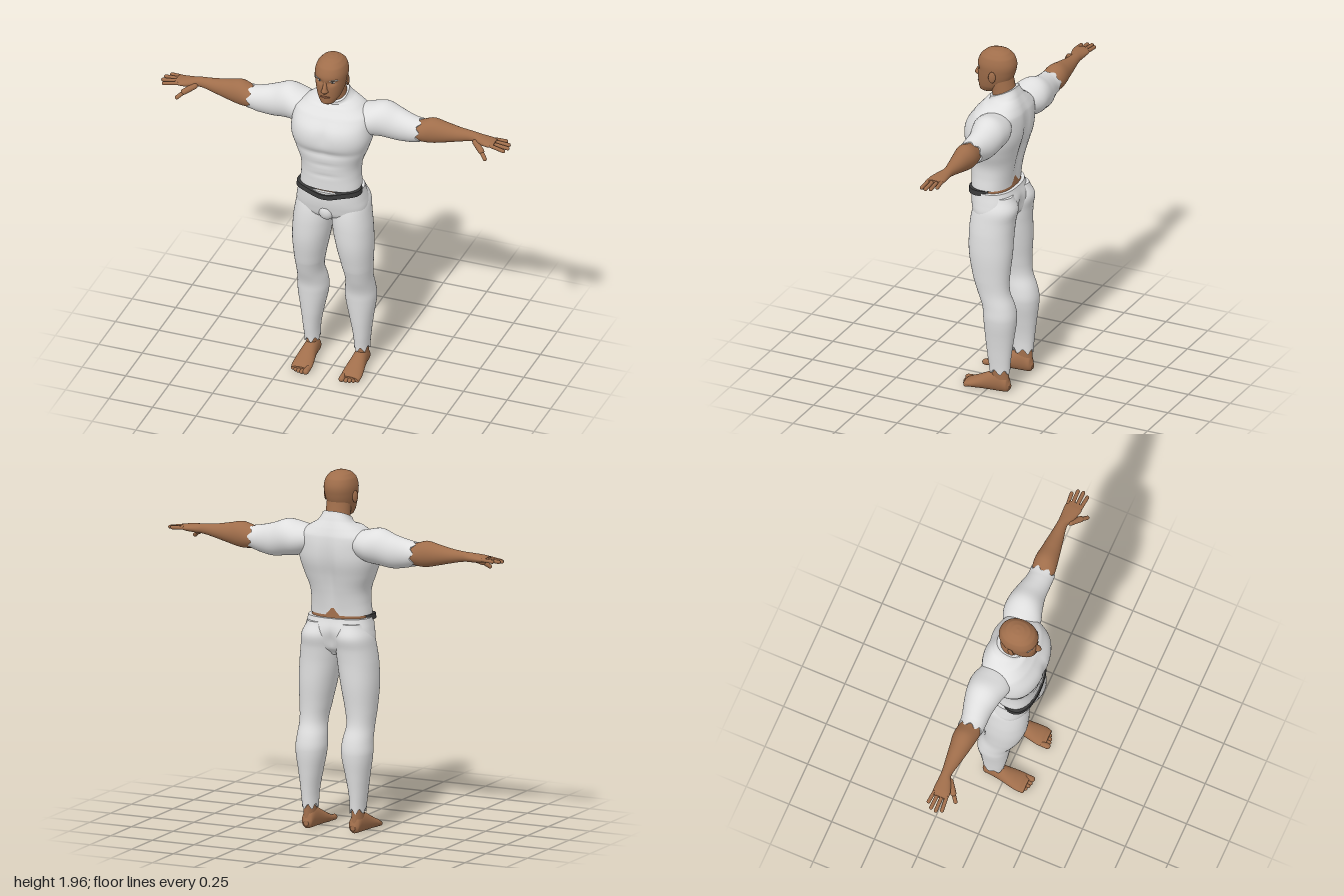
import * as THREE from 'three';

const mat = (name, color) => Object.assign(new THREE.MeshStandardMaterial({ color }), { name });
const bump = (v, mid, width) => Math.exp(-(((v - mid) / width) ** 2));
const sym = (t, a, b0, b1) => [t, -a, a, b0, b1];

// Skin stretched over rows [t, aMin, aMax, bMin, bMax], smoothly interpolated along t.
// axis y: a = x, b = z;  axis x: a = z, b = y;  axis z: a = y, b = x
const ORDER = { x: ['x', 'z', 'y'], y: ['y', 'x', 'z'], z: ['z', 'y', 'x'] };
function loft(rows, { axis = 'y', seg = 40, steps = 5, p = 2, mod } = {}) {
  const [T, A, B] = ORDER[axis];
  const pos = [], idx = [], v = new THREE.Vector3();
  const row = i => rows[Math.max(0, Math.min(rows.length - 1, i))];
  const round = c => Math.sign(c) * Math.abs(c) ** (2 / p);
  const rings = (rows.length - 1) * steps + 1;
  for (let r = 0; r < rings; r++) {
    const i = Math.min(Math.floor(r / steps), rows.length - 2), f = r / steps - i;
    const s = rows[0].map((_, k) => {
      const [p0, p1, p2, p3] = [row(i - 1)[k], row(i)[k], row(i + 1)[k], row(i + 2)[k]];
      if (k === 0) return p1 + (p2 - p1) * f;
      return p1 + 0.5 * f * (p2 - p0 + f * (2 * p0 - 5 * p1 + 4 * p2 - p3 + f * (3 * (p1 - p2) + p3 - p0)));
    });
    for (let j = 0; j < seg; j++) {
      const th = (j / seg) * Math.PI * 2;
      v[T] = s[0];
      v[A] = (s[1] + s[2]) / 2 + (s[2] - s[1]) / 2 * round(Math.cos(th));
      v[B] = (s[3] + s[4]) / 2 + (s[4] - s[3]) / 2 * round(Math.sin(th));
      if (mod) mod(v, th, r / (rings - 1));
      pos.push(v.x, v.y, v.z);
      if (r < rings - 1) {
        const a = r * seg + j, c = r * seg + (j + 1) % seg;
        idx.push(a, a + seg, c, c, a + seg, c + seg);
      }
    }
  }
  // end caps on their own copies of the end rings
  for (const end of [0, rings - 1]) {
    const base = pos.length / 3, mid = [0, 0, 0];
    for (let j = 0; j < seg; j++) for (let k = 0; k < 3; k++) {
      const q = pos[(end * seg + j) * 3 + k];
      pos.push(q);
      mid[k] += q / seg;
    }
    pos.push(...mid);
    for (let j = 0; j < seg; j++) {
      const a = base + j, b = base + (j + 1) % seg;
      idx.push(base + seg, ...(end ? [b, a] : [a, b]));
    }
  }
  const g = new THREE.BufferGeometry();
  g.setAttribute('position', new THREE.Float32BufferAttribute(pos, 3));
  g.setIndex(idx);
  g.computeVertexNormals();
  return g;
}

const blob = (x, y, z, rx, ry, rz, turn = 0) =>
  new THREE.SphereGeometry(1, 20, 14).scale(rx, ry, rz).rotateY(turn).translate(x, y, z);

// Rounded rod between two points, for fingers and toes
function rod(a, b, r) {
  const p = new THREE.Vector3(...a), d = new THREE.Vector3(...b).sub(p);
  const g = new THREE.CapsuleGeometry(r, d.length() - r, 5, 12);
  const q = new THREE.Quaternion().setFromUnitVectors(new THREE.Vector3(0, 1, 0), d.clone().normalize());
  return g.applyQuaternion(q).translate(p.x + d.x / 2, p.y + d.y / 2, p.z + d.z / 2);
}

function mirrored(g) {
  const m = g.clone().scale(-1, 1, 1), ix = m.index.array;
  for (let i = 0; i < ix.length; i += 3) [ix[i], ix[i + 1]] = [ix[i + 1], ix[i]];
  return m;
}

export function createModel() {
  const skin = mat('skin', 0xa06e4b), cloth = mat('white cloth', 0xe0e0e0);
  const dark = mat('dark belt', 0x3a3a3a), lips = mat('lips', 0x85553c), pale = mat('pale brow', 0xd2d0cc);
  const model = new THREE.Group();
  model.name = 'figure';
  const add = (name, g, m) => {
    const mesh = new THREE.Mesh(g, m);
    mesh.name = name;
    model.add(mesh);
  };
  const pair = (name, g, m) => {
    add('left ' + name, g, m);
    add('right ' + name, mirrored(g), m);
  };

  // Shirt, with chest, belly and spine relief and a collar that drops at the front
  add('shirt', loft([
    sym(1.18, 0.17, -0.09, 0.138), sym(1.25, 0.164, -0.1, 0.14), sym(1.32, 0.168, -0.115, 0.145),
    sym(1.4, 0.198, -0.135, 0.155), sym(1.48, 0.222, -0.157, 0.172), sym(1.55, 0.222, -0.163, 0.162),
    sym(1.62, 0.21, -0.157, 0.115), sym(1.665, 0.15, -0.14, 0.075), sym(1.7, 0.1, -0.12, 0.052),
    sym(1.75, 0.077, -0.1, 0.05),
  ], {
    seg: 64, steps: 7, p: 2.4, mod: v => {
      if (v.z < 0) v.z += 0.022 * bump(v.x, 0, 0.03) * bump(v.y, 1.42, 0.2);
      else {
        v.z -= 0.012 * bump(v.x, 0, 0.018) * bump(v.y, 1.52, 0.07);
        v.z -= 0.01 * bump(v.y, 1.415, 0.02) * bump(v.x, 0, 0.15);
        v.z -= 0.004 * (bump(v.y, 1.34, 0.012) + bump(v.y, 1.27, 0.012)) * bump(v.x, 0, 0.08);
      }
      v.y -= THREE.MathUtils.smoothstep(v.y, 1.66, 1.75) * (v.z + 0.09) * 0.45;
    },
  }), cloth);

  // Sleeves with ragged hems
  pair('sleeve', loft([
    [0.1, -0.12, 0.03, 1.53, 1.64], [0.2, -0.16, 0.055, 1.49, 1.665], [0.28, -0.162, 0.035, 1.48, 1.68],
    [0.36, -0.147, 0.017, 1.47, 1.652], [0.44, -0.126, 0.015, 1.48, 1.63], [0.485, -0.124, 0.015, 1.492, 1.622],
  ], { axis: 'x', mod: (v, th, u) => { if (u === 1) v.x += 0.012 * Math.sin(th * 7); } }), cloth);

  // Bare forearms and hands
  pair('forearm', loft([
    [0.42, -0.1, 0, 1.51, 1.6], [0.49, -0.119, 0.008, 1.497, 1.618], [0.55, -0.125, 0.002, 1.495, 1.637],
    [0.62, -0.116, -0.01, 1.51, 1.625], [0.7, -0.105, -0.025, 1.53, 1.61], [0.78, -0.095, -0.038, 1.547, 1.602],
    [0.82, -0.095, -0.02, 1.547, 1.597], [0.88, -0.097, -0.002, 1.55, 1.59], [0.915, -0.092, -0.006, 1.557, 1.583],
  ], { axis: 'x' }), skin);
  [[-0.085, -0.092, 0.965], [-0.062, -0.066, 0.99], [-0.037, -0.036, 0.995], [-0.013, -0.006, 0.98]]
    .forEach(([z0, z1, x], i) => pair('finger ' + (i + 1), rod([0.895, 1.571, z0], [x, 1.568 - i * 0.004, z1], 0.0105), skin));
  pair('thumb base', rod([0.8, 1.567, -0.035], [0.86, 1.535, 0.012], 0.017), skin);
  pair('thumb tip', rod([0.85, 1.54, 0.005], [0.888, 1.508, 0.036], 0.0115), skin);

  // Waist, belt and trousers
  add('bare waist', loft([sym(1.1, 0.163, -0.093, 0.12), sym(1.22, 0.158, -0.088, 0.12)], { p: 2.4 }), skin);
  add('belt', loft([sym(1.152, 0.184, -0.04, 0.143), sym(1.18, 0.181, -0.04, 0.143)], {
    seg: 64, p: 2.4, mod: v => { if (v.z > 0) v.y -= 0.03 * bump(v.x, 0, 0.09); },
  }), dark);
  add('trouser top', loft([
    sym(0.96, 0.09, -0.07, 0.06), sym(1, 0.185, -0.11, 0.108), sym(1.05, 0.199, -0.127, 0.125),
    sym(1.1, 0.192, -0.128, 0.134), sym(1.165, 0.18, -0.108, 0.137),
  ], { seg: 64, p: 2.4, mod: v => { if (v.z < 0) v.z += 0.025 * bump(v.x, 0, 0.025) * bump(v.y, 1.04, 0.06); } }), cloth);
  add('trouser front', blob(0, 1.03, 0.09, 0.048, 0.055, 0.045), cloth);
  pair('trouser leg', loft([
    [0.12, 0.102, 0.183, -0.125, -0.008], [0.2, 0.098, 0.19, -0.131, 0.002], [0.3, 0.08, 0.202, -0.143, 0.014],
    [0.43, 0.054, 0.22, -0.157, 0.025], [0.5, 0.056, 0.217, -0.146, 0.032], [0.58, 0.067, 0.213, -0.119, 0.06],
    [0.66, 0.055, 0.218, -0.115, 0.087], [0.8, 0.026, 0.225, -0.125, 0.115], [0.92, 0.006, 0.22, -0.128, 0.12],
    [1, 0, 0.21, -0.135, 0.115], [1.07, 0.004, 0.198, -0.147, 0.1], [1.14, 0.03, 0.165, -0.118, 0.07],
  ], { p: 2.15, mod: (v, th, u) => { if (u === 0) v.y += 0.014 * Math.sin(th * 6); } }), cloth);

  // Bare feet
  pair('ankle', loft([[0.04, 0.11, 0.175, -0.122, -0.01], [0.1, 0.113, 0.174, -0.118, -0.018],
    [0.18, 0.112, 0.176, -0.118, -0.015]]), skin);
  pair('foot', loft([
    [-0.126, 0.015, 0.045, 0.125, 0.155], [-0.112, 0, 0.085, 0.11, 0.172], [-0.07, -0.005, 0.115, 0.106, 0.177],
    [-0.01, -0.005, 0.1, 0.1, 0.185], [0.05, -0.005, 0.07, 0.09, 0.195], [0.1, -0.005, 0.046, 0.086, 0.199],
    [0.128, 0.002, 0.032, 0.092, 0.192],
  ], { axis: 'z', mod: v => { v.y = Math.max(v.y, 0); } }), skin);
  for (let i = 0; i < 5; i++) {
    const r = i ? 0.0115 : 0.0165, x = i ? 0.107 + i * 0.0195 : 0.103;
    pair('toe ' + (i + 1), rod([x, r + 0.003, 0.1], [x, r, 0.149 - i * i * 0.0016], r), skin);
  }

  // Neck and head, with eye sockets pressed in
  add('neck', loft([sym(1.62, 0.07, -0.1, 0.03), sym(1.72, 0.068, -0.087, 0.043), sym(1.82, 0.066, -0.07, 0.06)]), skin);
  add('head', loft([
    sym(1.7, 0.02, 0.06, 0.1), sym(1.712, 0.04, 0.02, 0.117), sym(1.745, 0.062, -0.03, 0.122),
    sym(1.79, 0.076, -0.068, 0.125), sym(1.84, 0.085, -0.086, 0.124), sym(1.88, 0.087, -0.091, 0.124),
    sym(1.92, 0.077, -0.078, 0.108), sym(1.945, 0.056, -0.052, 0.08), sym(1.957, 0.03, -0.02, 0.048),
    sym(1.961, 0.004, 0.01, 0.018),
  ], {
    seg: 64, steps: 7, p: 2.15, mod: v => {
      if (v.z > 0.03) v.z -= 0.014 * bump(Math.abs(v.x), 0.035, 0.02) * bump(v.y, 1.845, 0.013);
    },
  }), skin);
  add('nose', loft([
    sym(1.782, 0.012, 0.09, 0.135), sym(1.793, 0.02, 0.09, 0.149), sym(1.81, 0.014, 0.1, 0.145),
    sym(1.84, 0.01, 0.1, 0.128), sym(1.862, 0.009, 0.1, 0.122),
  ], { seg: 20 }), skin);
  add('mouth', blob(0, 1.757, 0.12, 0.028, 0.0065, 0.008), lips);
  pair('ear', blob(0.088, 1.822, 0.008, 0.009, 0.033, 0.02, 0.35), skin);
  pair('eye', blob(0.036, 1.846, 0.1, 0.017, 0.007, 0.006, 0.3), pale);
  pair('pupil', blob(0.036, 1.846, 0.1045, 0.006, 0.006, 0.003, 0.3), dark);
  pair('brow', blob(0.044, 1.862, 0.108, 0.027, 0.0045, 0.005, 0.45), pale);

  return model;
}
